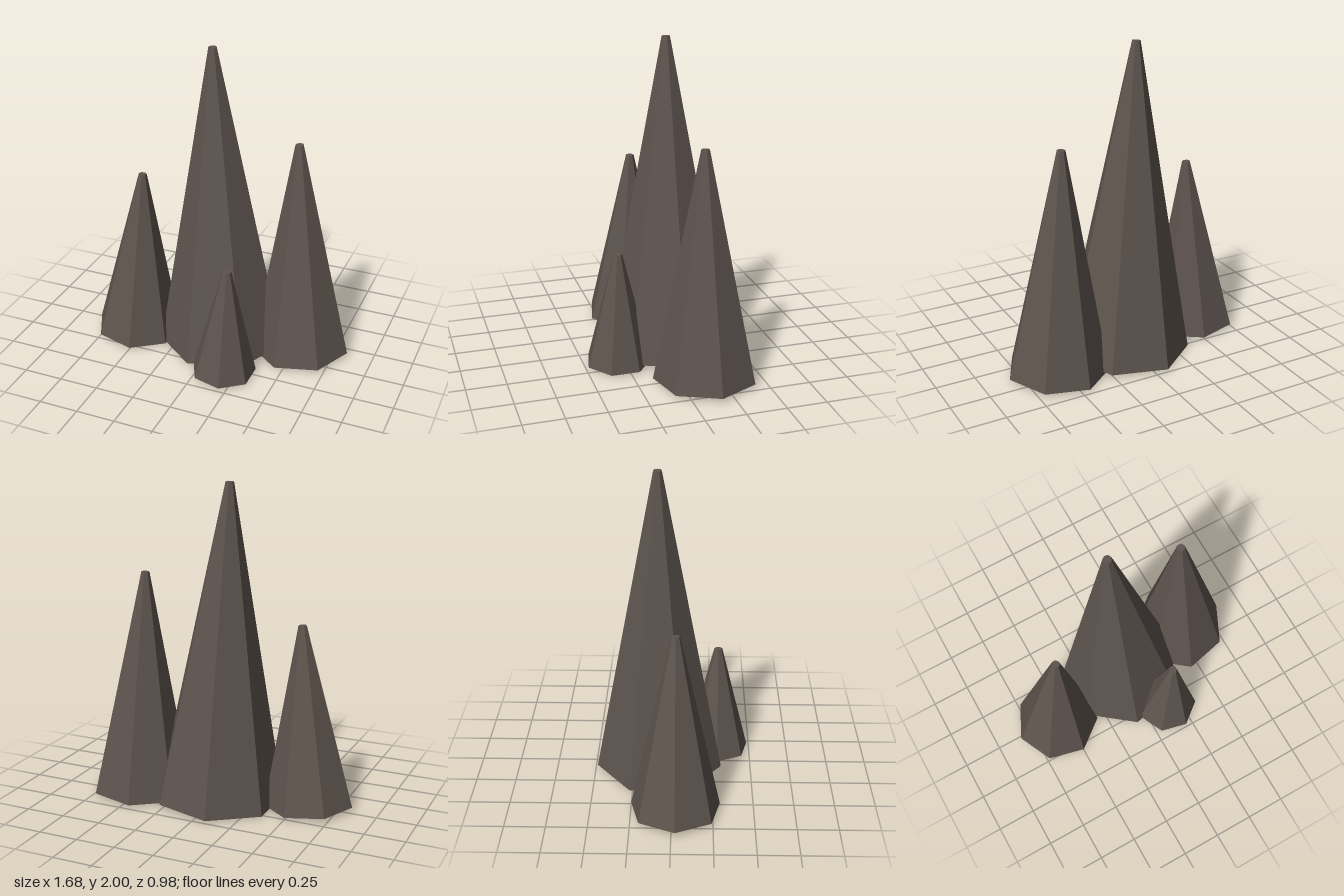
import * as THREE from 'three';

const rock = new THREE.MeshStandardMaterial({ color: 0x5e544e, flatShading: true });
rock.name = 'rock';

// Seven-sided tapering spire, standing on the centre of its base, leaning along its own -x
function makeSpire(name, { x, z, radius, height, lean, yaw }) {
  const geometry = new THREE.CylinderGeometry(0.026, radius, height, 7, 1, false, Math.PI / 2);
  geometry.translate(0, height / 2, 0);
  const spire = new THREE.Mesh(geometry, rock);
  spire.name = name;
  spire.position.set(x, 0.016, z);
  spire.rotation.set(0, yaw, lean);
  return spire;
}

export function createModel() {
  const group = new THREE.Group();
  group.name = 'rockSpires';
  group.add(
    makeSpire('tallSpire', { x: 0.01, z: -0.09, radius: 0.41, height: 1.984, lean: 0.038, yaw: 0 }),
    makeSpire('leftSpire', { x: 0.52, z: -0.165, radius: 0.318, height: 1.417, lean: 0.038, yaw: 0 }),
    makeSpire('rightSpire', { x: -0.56, z: 0.022, radius: 0.28, height: 1.134, lean: 0.057, yaw: Math.PI }),
    makeSpire('smallFrontSpire', { x: 0.16, z: 0.286, radius: 0.205, height: 0.718, lean: 0.03, yaw: Math.PI }),
  );
  return group;
}
